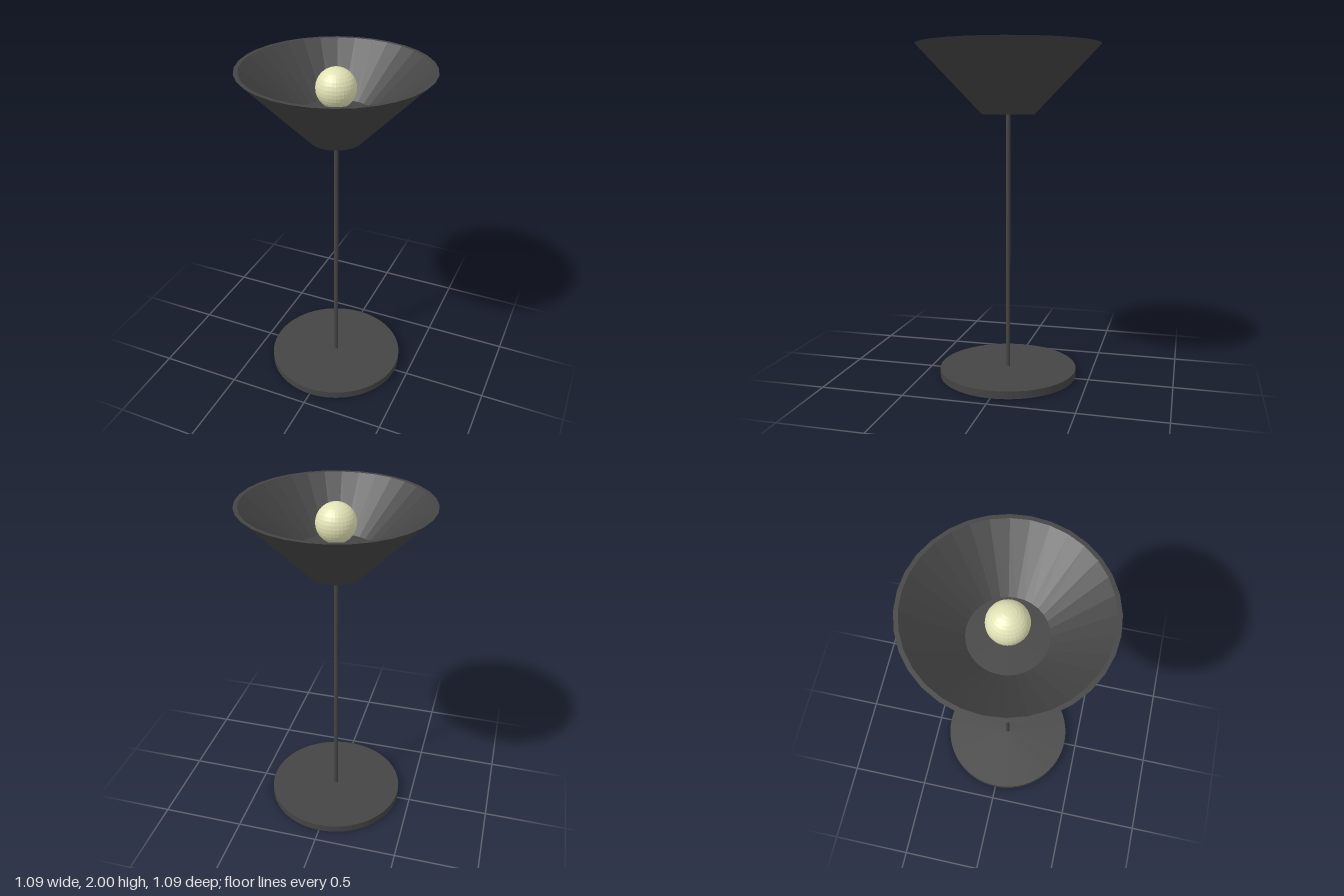
import * as THREE from 'three';

export function createModel() {
  const group = new THREE.Group();
  const metal = new THREE.MeshStandardMaterial({ color: 0x444444, flatShading: true });
  const glow = new THREE.MeshStandardMaterial({ color: 0xe2e2b6, flatShading: true });

  function add(name, geometry, material, y = 0) {
    const mesh = new THREE.Mesh(geometry, material);
    mesh.name = name;
    mesh.position.y = y;
    group.add(mesh);
    return mesh;
  }

  // Round foot
  add('base', new THREE.CylinderGeometry(0.418, 0.418, 0.045, 64), metal, 0.0225);

  // Thin pole, running through the shade floor up to the bulb
  const poleBottom = 0.04, poleTop = 1.79;
  add('pole', new THREE.CylinderGeometry(0.013, 0.013, poleTop - poleBottom, 16), metal,
    (poleBottom + poleTop) / 2);

  // Upturned conical shade: closed bottom, sloped wall, flat rim, inner wall and floor
  const profile = [
    [0, 1.59], [0.155, 1.59], [0.543, 1.996], [0.52, 1.996], [0.217, 1.732], [0, 1.732],
  ].map(([r, y]) => new THREE.Vector2(r, y));
  add('shade', new THREE.LatheGeometry(profile, 32), metal);

  // Round bulb, just peeking over the rim
  add('bulb', new THREE.SphereGeometry(0.113, 32, 16), glow, 1.887);

  return group;
}
